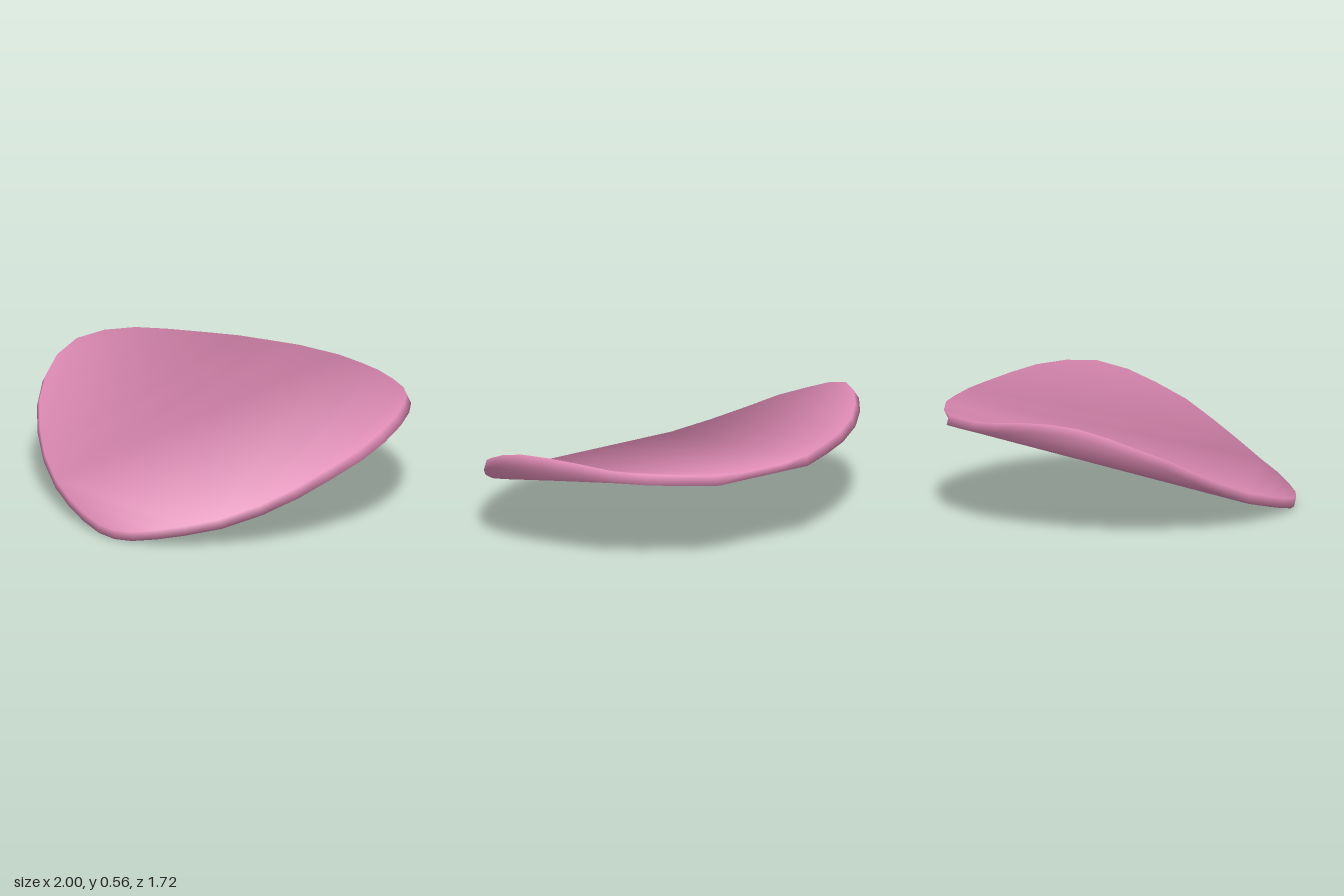
import * as THREE from 'three';

// Half of the lower rim, from the front tip round to the back: x, y, z
const RIM = [
  [0, 0, 0.85], [0.1, 0.008, 0.84], [0.22, 0.03, 0.8], [0.35, 0.06, 0.74], [0.5, 0.1, 0.65],
  [0.66, 0.17, 0.53], [0.79, 0.25, 0.4], [0.89, 0.33, 0.27], [0.965, 0.4, 0.12],
  [1, 0.46, -0.02], [0.99, 0.503, -0.17], [0.93, 0.513, -0.32], [0.84, 0.503, -0.46],
  [0.73, 0.48, -0.58], [0.58, 0.46, -0.69], [0.43, 0.45, -0.77], [0.27, 0.437, -0.835],
  [0.12, 0.435, -0.83],
];
const THICKNESS = 0.051;

function petalGeometry() {
  const last = RIM.length - 1;
  const count = 2 * last + 1;
  const left = (i) => (i === 0 ? 0 : count - i);

  // Closed lower loop: left half mirrors the right half
  const lower = RIM.map((p) => new THREE.Vector3(...p));
  for (let i = last; i > 0; i--) lower.push(new THREE.Vector3(-RIM[i][0], RIM[i][1], RIM[i][2]));

  // Upper loop is offset along the inward-tilting surface direction
  const ups = lower.map((p) => new THREE.Vector3(-0.6 * p.x * Math.abs(p.x), 0.9, 0.2).normalize());
  const upper = lower.map((p, i) => p.clone().addScaledVector(ups[i], THICKNESS));
  // Small lip at the back
  for (const i of [last, left(last)]) upper[i].z = -0.857;

  // Rounded rim: normals lean halfway between the sheet and the edge wall
  const upperNormals = [], lowerNormals = [];
  for (let i = 0; i < count; i++) {
    const along = lower[(i + 1) % count].clone().sub(lower[(i + count - 1) % count]);
    const out = along.cross(ups[i]).normalize();
    upperNormals.push(out.clone().add(ups[i]).normalize());
    lowerNormals.push(out.clone().sub(ups[i]).normalize());
  }

  // Upper sheet: cross strips at the tip, a flat middle, lengthwise strips at the sides
  const sheet = [[left(1), 0, 1]];
  const quad = (a, b, c, d) => sheet.push([a, b, c], [a, c, d]);
  for (let i = 1; i < 4; i++) quad(left(i + 1), left(i), i, i + 1);
  quad(left(4), 4, last, left(last));
  let f = 4, b = last, stepBack = true;
  while (b - f > 1) {
    const tri = stepBack ? [f, b - 1, b] : [f, f + 1, b];
    sheet.push(tri, tri.map(left).reverse());
    if (stepBack) b--; else f++;
    stepBack = !stepBack;
  }

  // Lower sheet and the edge wall
  const index = [];
  for (const [p, q, r] of sheet) index.push(p, q, r, r + count, q + count, p + count);
  for (let i = 0; i < count; i++) {
    const j = (i + 1) % count;
    index.push(i + count, j + count, j, i + count, j, i);
  }

  const flat = (list) => list.flatMap((v) => v.toArray());
  const geometry = new THREE.BufferGeometry();
  geometry.setAttribute('position', new THREE.Float32BufferAttribute(flat([...upper, ...lower]), 3));
  geometry.setAttribute('normal', new THREE.Float32BufferAttribute(flat([...upperNormals, ...lowerNormals]), 3));
  geometry.setIndex(index);
  return geometry;
}

export function createModel() {
  const pink = new THREE.MeshStandardMaterial({ color: 0xdf8bb5 });
  pink.name = 'petal pink';
  const petal = new THREE.Mesh(petalGeometry(), pink);
  petal.name = 'petal';
  const model = new THREE.Group();
  model.name = 'flowerPetal';
  model.add(petal);
  return model;
}
